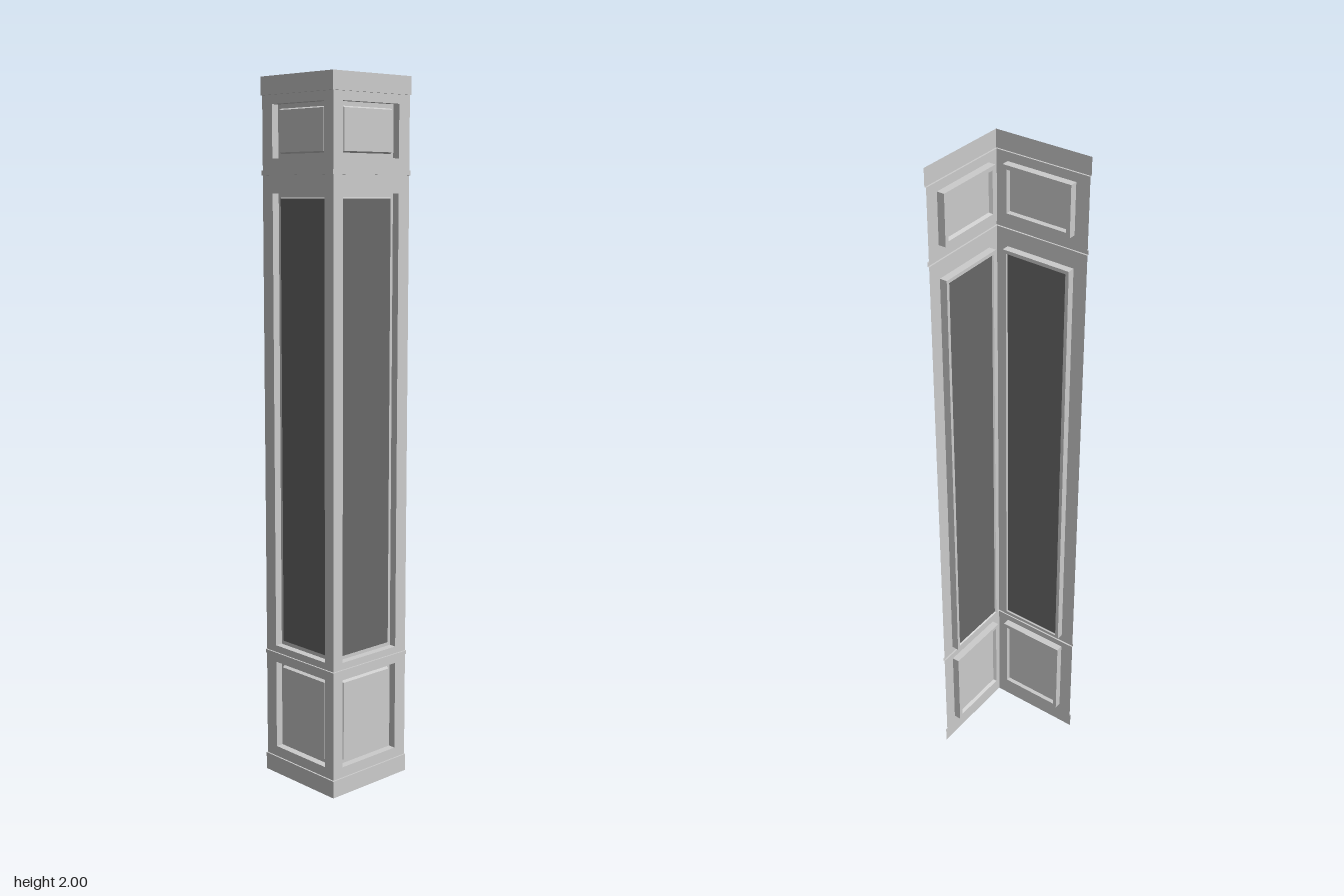
import * as THREE from 'three';

const grey = new THREE.MeshStandardMaterial({ color: 0xcccccc, side: THREE.DoubleSide });
const dark = new THREE.MeshStandardMaterial({ color: 0x686868, side: THREE.DoubleSide });

const FIELD = 0.14;   // depth of the flat wall face
const PROUD = 0.145;  // depth of the raised bands
const END = -0.146;   // free edge of each wall
const HALF = 0.105;   // half width of the panels

// Joins successive rows of points with flat quads
function loft(rows, closed) {
  const pos = [];
  for (let r = 0; r + 1 < rows.length; r++) {
    const a = rows[r], b = rows[r + 1], n = a.length;
    for (let i = 0; i < (closed ? n : n - 1); i++) {
      const j = (i + 1) % n;
      pos.push(...a[i], ...a[j], ...b[j], ...a[i], ...b[j], ...b[i]);
    }
  }
  const g = new THREE.BufferGeometry();
  g.setAttribute('position', new THREE.Float32BufferAttribute(pos, 3));
  g.computeVertexNormals();
  return g;
}

function add(group, name, geometry, material = grey) {
  const mesh = new THREE.Mesh(geometry, material);
  mesh.name = name;
  group.add(mesh);
}

// Horizontal band from [y, depth] points, mitred at the corner
function band(group, name, profile) {
  add(group, name, loft(profile.map(([y, d]) => [[END, y, d], [d, y, d]]), false));
}

// Flat wall section with one opening and a moulded, sunken panel
function section(group, name, y0, y1, p0, p1, rings, material) {
  const shape = new THREE.Shape();
  shape.moveTo(END, y0).lineTo(FIELD, y0).lineTo(FIELD, y1).lineTo(END, y1).closePath();
  const hole = new THREE.Path();
  hole.moveTo(-HALF, p0).lineTo(-HALF, p1).lineTo(HALF, p1).lineTo(HALF, p0).closePath();
  shape.holes.push(hole);
  add(group, name + 'Face', new THREE.ShapeGeometry(shape).translate(0, 0, FIELD));

  const loops = rings.map(([s, d]) => [
    [-HALF + s, p0 + s, d], [HALF - s, p0 + s, d],
    [HALF - s, p1 - s, d], [-HALF + s, p1 - s, d],
  ]);
  add(group, name + 'Moulding', loft(loops, true));

  const [s, d] = rings[rings.length - 1];
  const floor = new THREE.PlaneGeometry(2 * (HALF - s), p1 - p0 - 2 * s);
  add(group, name + 'Panel', floor.translate(0, (p0 + p1) / 2, d), material);
}

function wall(name) {
  const g = new THREE.Group();
  g.name = name;

  // Base, rails and top band
  band(g, 'baseboard', [[0, PROUD], [0.05, PROUD], [0.05, FIELD]]);
  band(g, 'lowerRail', [[0.36, FIELD], [0.36, PROUD], [0.37, PROUD], [0.37, FIELD]]);
  band(g, 'upperRail', [[1.735, FIELD], [1.735, PROUD], [1.748, PROUD], [1.748, FIELD]]);
  band(g, 'topBand', [[1.95, FIELD], [1.95, PROUD], [2, PROUD]]);

  // Two small panels around the tall dark one
  const small = [[0, FIELD], [0, 0.118], [0.012, 0.118], [0.016, 0.128], [0.022, 0.128]];
  const tall = [[0, FIELD], [0, 0.118], [0.01, 0.118], [0.013, 0.122]];
  section(g, 'lower', 0.05, 0.36, 0.08, 0.34, small, grey);
  section(g, 'middle', 0.37, 1.735, 0.39, 1.685, tall, dark);
  section(g, 'upper', 1.748, 1.95, 1.78, 1.925, small, grey);
  return g;
}

export function createModel() {
  const model = new THREE.Group();
  model.name = 'cornerPillar';
  const front = wall('frontWall');
  // Second wall mirrored across the corner, swapping x and z
  const side = wall('sideWall');
  side.rotation.y = Math.PI / 2;
  side.scale.x = -1;
  model.add(front, side);
  return model;
}
